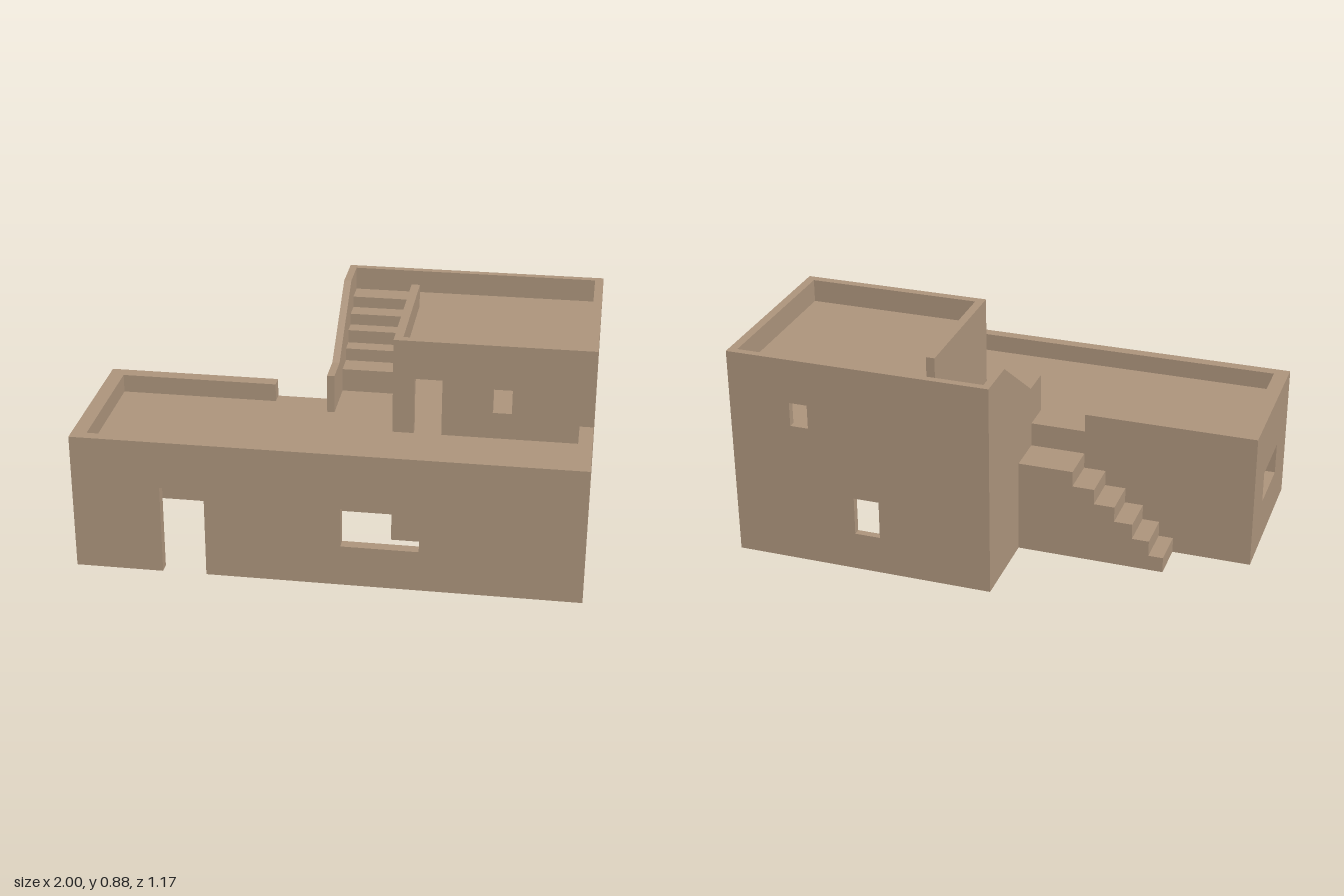
import * as THREE from 'three';

export function createModel() {
  const model = new THREE.Group();
  const clay = new THREE.MeshStandardMaterial({ color: 0xab937b });
  clay.name = 'clay';

  const FLOOR = 0.49, SLAB = 0.05, LOW = 0.565, TERRACE = 0.79, TOP = 0.885;

  function add(geometry, name) {
    const mesh = new THREE.Mesh(geometry, clay);
    mesh.name = name;
    model.add(mesh);
    return mesh;
  }

  // Box given by its limits on each axis
  function block(name, x0, x1, y0, y1, z0, z1) {
    const g = new THREE.BoxGeometry(x1 - x0, y1 - y0, z1 - z0);
    g.translate((x0 + x1) / 2, (y0 + y1) / 2, (z0 + z1) / 2);
    return add(g, name);
  }

  // Flat outline with rectangular openings [u0, u1, v0, v1]
  function panel(outline, openings, depth) {
    const shape = new THREE.Shape(outline.map(([u, v]) => new THREE.Vector2(u, v)));
    for (const [u0, u1, v0, v1] of openings) {
      shape.holes.push(new THREE.Path([
        new THREE.Vector2(u0, v0), new THREE.Vector2(u0, v1),
        new THREE.Vector2(u1, v1), new THREE.Vector2(u1, v0),
      ]));
    }
    return new THREE.ExtrudeGeometry(shape, { depth, bevelEnabled: false });
  }

  // Wall running along x, between z0 and z1
  function wallX(name, outline, z0, z1, openings = []) {
    add(panel(outline, openings, z1 - z0).translate(0, 0, z0), name);
  }

  // Wall running along z, between x0 and x1; outline is in (z, y)
  function wallZ(name, outline, x0, x1, openings = []) {
    add(panel(outline, openings, x1 - x0).rotateY(-Math.PI / 2).translate(x1, 0, 0), name);
  }

  const rect = (u0, u1, v0, v1) => [[u0, v0], [u1, v0], [u1, v1], [u0, v1]];

  // Lower storey: front wall with doorway and window
  wallX('frontWall', [
    [-1, 0], [-0.65, 0], [-0.65, 0.37], [-0.475, 0.37], [-0.475, 0],
    [1, 0], [1, LOW], [-1, LOW],
  ], 0.54, 0.585, [[0.06, 0.365, 0.17, 0.335]]);
  wallZ('leftEndWall', rect(-0.07, 0.54, 0, LOW), -1, -0.94, [[0.12, 0.38, 0.19, 0.32]]);
  wallZ('lowerEndWall', rect(0.2, 0.54, 0, LOW), 0.945, 1);
  // Back wall, with its parapet open beside the outside stair
  wallX('lowerBackWall', [
    [-0.94, 0], [0.21, 0], [0.21, FLOOR], [-0.3, FLOOR], [-0.3, LOW], [-0.94, LOW],
  ], -0.07, -0.015);
  block('lowerRoof', -0.97, 0.97, FLOOR - SLAB, FLOOR, -0.015, 0.56);

  // Two storey tower
  wallX('towerFrontWall', [
    [0.21, 0], [0.48, 0], [0.48, 0.37], [0.72, 0.37], [0.72, 0],
    [1, 0], [1, TOP], [0.21, TOP],
  ], 0.165, 0.2, [[0.295, 0.405, FLOOR, 0.725], [0.605, 0.68, 0.6, 0.7]]);
  wallX('towerBackWall', rect(-0.075, 1, 0, TOP), -0.59, -0.56,
    [[0.67, 0.745, 0.6, 0.7], [0.385, 0.49, 0.16, 0.32]]);
  wallZ('towerSideWall', rect(-0.56, 0.165, 0, TOP), 0.965, 1);
  // Partition rises to a parapet, left open at the stair landing
  wallZ('partitionWall', [
    [-0.56, 0], [0.165, 0], [0.165, TOP], [-0.4, TOP], [-0.4, TERRACE], [-0.56, TERRACE],
  ], 0.21, 0.245);
  block('towerFloor', -0.05, 0.97, FLOOR - SLAB, FLOOR, -0.57, -0.015);
  block('towerRoof', 0.23, 0.97, TERRACE - SLAB, TERRACE, -0.57, 0.18);

  // Sloping wall guarding the upper stair
  wallZ('stairGuardWall', [
    [-0.56, 0], [-0.07, 0], [-0.07, 0.45], [0.055, 0.45], [0.055, 0.65],
    [-0.08, 0.65], [-0.405, TOP], [-0.56, TOP],
  ], -0.075, -0.045);

  // Upper stair, climbing towards the back
  const treads = [[-0.16, 0.587], [-0.255, 0.64], [-0.322, 0.695], [-0.387, 0.743], [-0.465, TERRACE]];
  treads.forEach(([z, y], i) => {
    const back = i < treads.length - 1 ? treads[i + 1][0] : -0.56;
    block('upperStep', -0.045, 0.21, FLOOR - SLAB, y, back, z);
  });

  // Outside stair along the back wall, ending in a landing
  const edges = [-0.68, -0.62, -0.55, -0.475, -0.39, -0.3, -0.075];
  const profile = [[edges[0], 0]];
  for (let i = 0; i < 6; i++) {
    const y = 0.065 * (i + 1);
    profile.push([edges[i], y], [edges[i + 1], y]);
  }
  profile.push([edges[6], 0]);
  wallX('outsideStair', profile.reverse(), -0.235, -0.07);

  return model;
}
